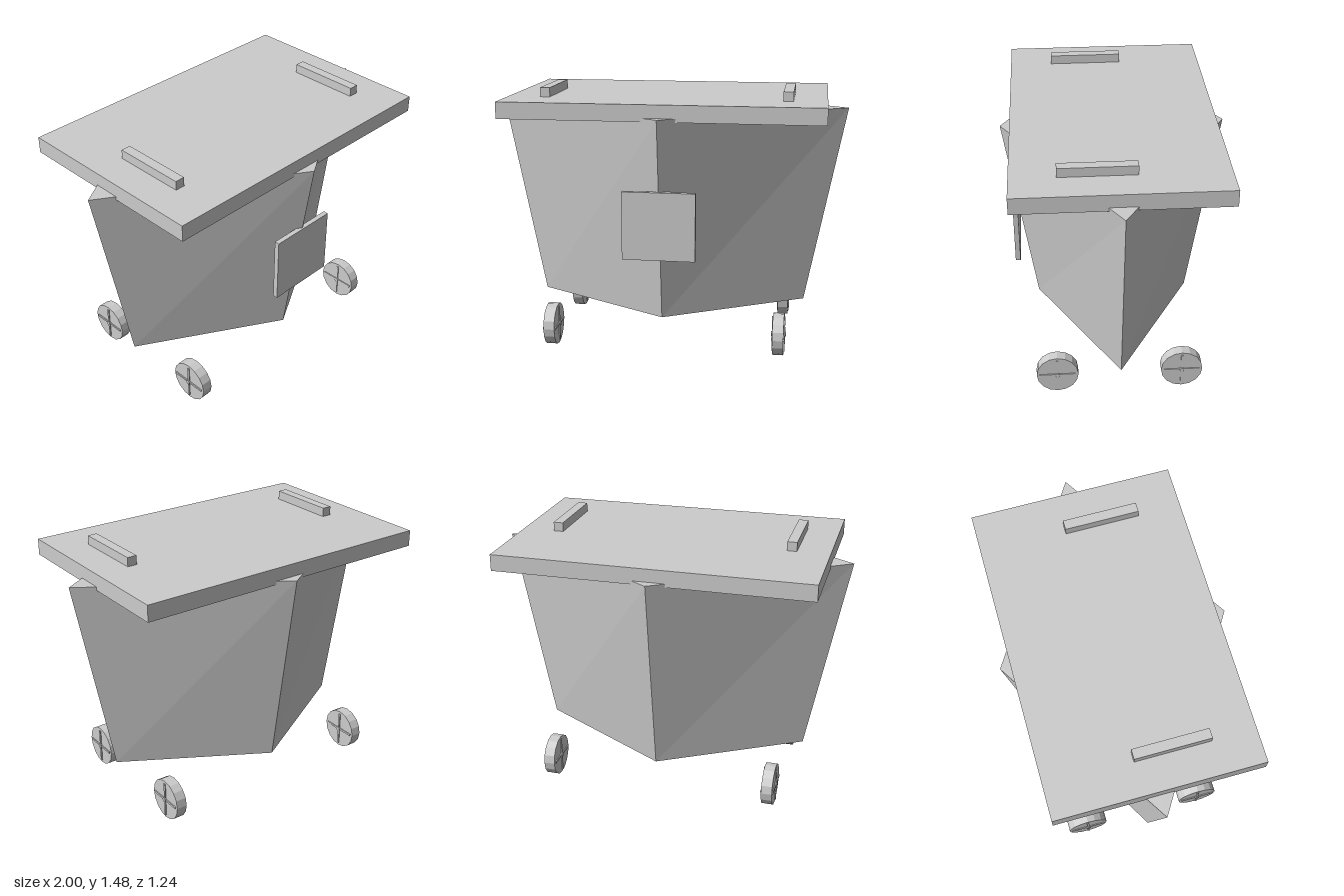
import * as THREE from 'three';

const grey = new THREE.MeshStandardMaterial({ color: 0xcccccc });
grey.name = 'plain grey';

// Give every face its own flat normal
function faceted(geometry) {
  const flat = geometry.toNonIndexed();
  flat.computeVertexNormals();
  return flat;
}

function addMesh(parent, name, geometry, x, y, z) {
  const mesh = new THREE.Mesh(geometry, grey);
  mesh.name = name;
  mesh.position.set(x, y, z);
  parent.add(mesh);
  return mesh;
}

// Four-sided tapered bin with its corners on the x and z axes
function binGeometry() {
  const height = 1.137;
  const geometry = new THREE.CylinderGeometry(1, 1, height, 4);
  const p = geometry.attributes.position;
  for (let i = 0; i < p.count; i++) {
    const top = p.getY(i) > 0;
    p.setX(i, p.getX(i) * (top ? 1 : 0.777));
    p.setZ(i, p.getZ(i) * (top ? 0.622 : 0.448));
  }
  return faceted(geometry);
}

// Wheel with a raised cross and a hub showing on both sides
function makeWheel() {
  const wheel = new THREE.Group();
  const tyre = faceted(new THREE.CylinderGeometry(0.118, 0.118, 0.062, 16).rotateZ(Math.PI / 2));
  const hub = faceted(new THREE.CylinderGeometry(0.013, 0.013, 0.084, 10).rotateZ(Math.PI / 2));
  addMesh(wheel, 'tyre', tyre, 0, 0, 0);
  addMesh(wheel, 'hub', hub, 0, 0, 0);
  addMesh(wheel, 'uprightSpoke', new THREE.BoxGeometry(0.074, 0.204, 0.012), 0, 0, 0);
  addMesh(wheel, 'levelSpoke', new THREE.BoxGeometry(0.074, 0.012, 0.204), 0, 0, 0);
  return wheel;
}

export function createModel() {
  const model = new THREE.Group();
  model.name = 'wheeledBin';

  addMesh(model, 'binBody', binGeometry(), 0, 0.7855, 0);
  addMesh(model, 'lid', new THREE.BoxGeometry(1.76, 0.092, 1.128), 0, 1.38, 0);
  addMesh(model, 'frontPanel', new THREE.BoxGeometry(0.4, 0.376, 0.028), 0, 0.769, 0.556);

  for (const side of [-1, 1]) {
    // Lid handles sit slightly towards the front
    addMesh(model, 'lidHandle', new THREE.BoxGeometry(0.055, 0.052, 0.412), side * 0.67, 1.451, 0.117);

    for (const end of [-1, 1]) {
      const wheel = makeWheel();
      wheel.name = end > 0 ? 'frontWheel' : 'rearWheel';
      wheel.position.set(side * 0.648, 0.118, end * 0.353);
      model.add(wheel);
    }
  }
  return model;
}
